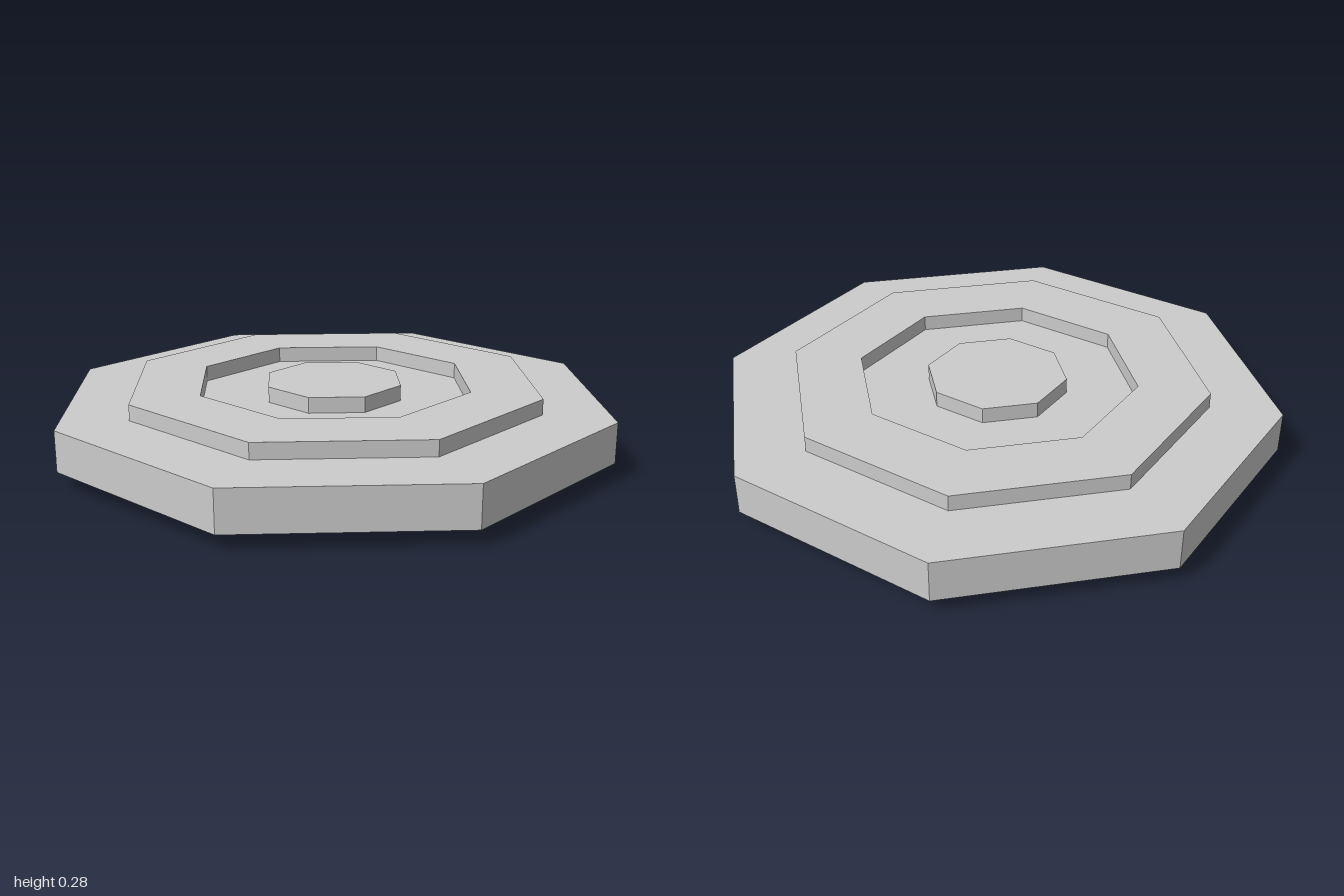
import * as THREE from 'three';

const SIDES = 8;
const TURN = Math.PI / SIDES; // flat sides face the axes
const H = 0.275, LIP = 0.06;  // total height, height of the raised parts
const corner = (apothem) => apothem / Math.cos(TURN);

export function createModel() {
  const model = new THREE.Group();
  model.name = 'octagonalDisc';
  const material = new THREE.MeshStandardMaterial({ color: 0xcccccc, flatShading: true });

  const add = (name, geometry, y) => {
    const flat = geometry.toNonIndexed();
    flat.computeVertexNormals();
    const mesh = new THREE.Mesh(flat, material);
    mesh.name = name;
    mesh.position.y = y;
    model.add(mesh);
  };

  // Solid octagonal slab, centred on its own height
  const slab = (apothem, height) => new THREE.CylinderGeometry(
    corner(apothem), corner(apothem), height, SIDES, 1, false, TURN);

  // Octagonal ring with a rectangular section, centred on its own height
  const ring = (outer, inner, height) => {
    const o = corner(outer), i = corner(inner), h = height / 2;
    const section = [[o, -h], [o, h], [i, h], [i, -h], [o, -h]];
    return new THREE.LatheGeometry(section.map(([x, y]) => new THREE.Vector2(x, y)), SIDES, TURN);
  };

  // Wide middle plate
  add('plate', slab(1, H - 2 * LIP), H / 2);

  // Raised ring and central boss, the same on both faces
  for (const [side, y] of [['top', H - LIP / 2], ['bottom', LIP / 2]]) {
    add(side + 'Ring', ring(0.75, 0.5, LIP), y);
    add(side + 'Boss', slab(0.25, LIP), y);
  }

  return model;
}
